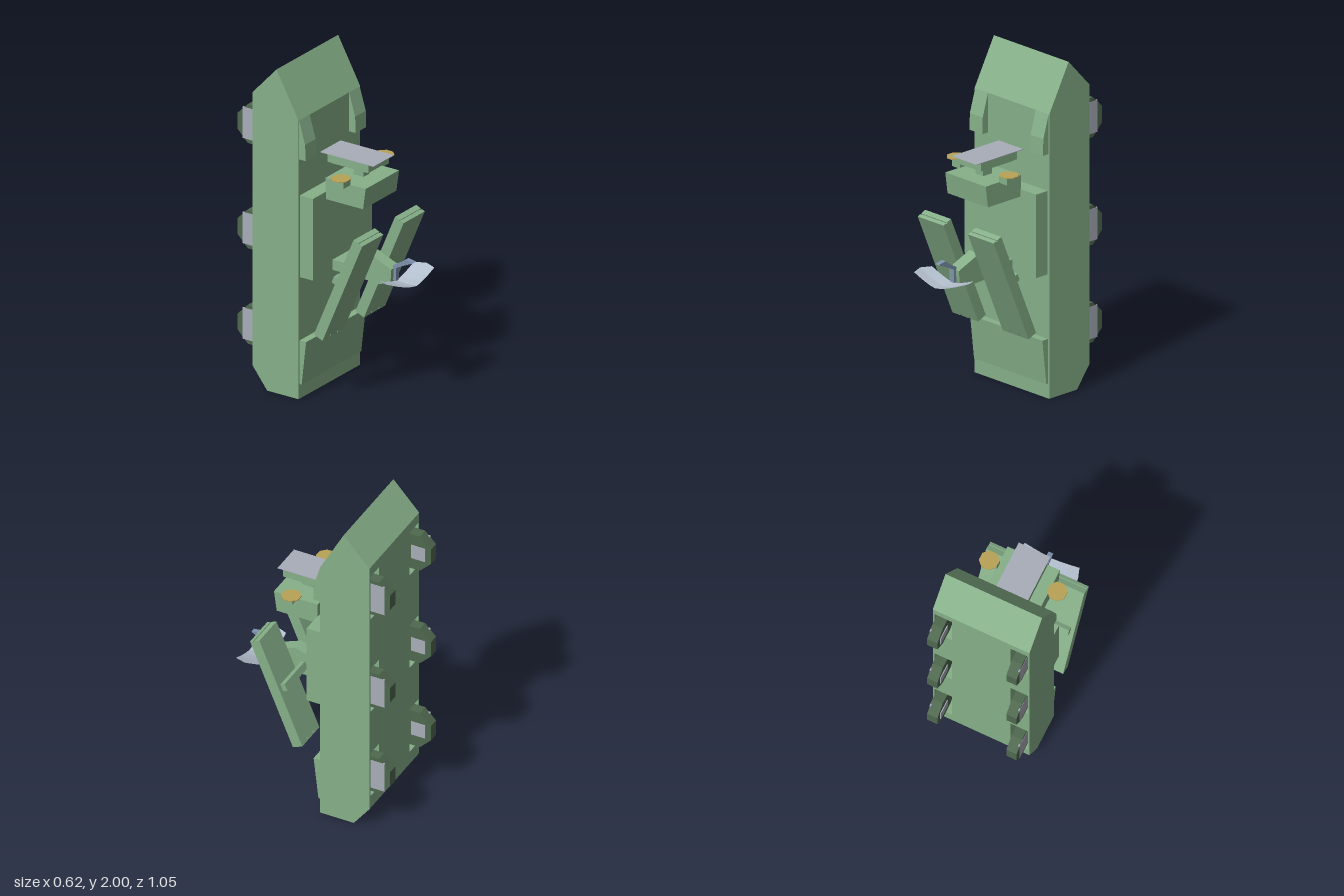
import * as THREE from 'three';

const GREEN = 0x86b089, TYRE = 0x4f684f, GREY = 0xa8adb8, YELLOW = 0xb8a356, STEEL = 0x7d92ad;

export function createModel() {
  const model = new THREE.Group();

  const add = (name, geometry, color = GREEN, double = false) => {
    const material = new THREE.MeshStandardMaterial({ color, flatShading: true });
    if (double) material.side = THREE.DoubleSide;
    const mesh = new THREE.Mesh(geometry, material);
    mesh.name = name;
    model.add(mesh);
    return mesh;
  };
  const toShape = (pts) => new THREE.Shape(pts.map(([a, b]) => new THREE.Vector2(a, b)));
  // Side profile of (z, y) points, extruded from x0 to x1
  const profile = (pts, x0, x1) =>
    new THREE.ExtrudeGeometry(toShape(pts), { depth: x1 - x0, bevelEnabled: false })
      .rotateY(-Math.PI / 2).translate(x1, 0, 0);
  const box = (x0, x1, y0, y1, z0, z1) =>
    new THREE.BoxGeometry(x1 - x0, y1 - y0, z1 - z0)
      .translate((x0 + x1) / 2, (y0 + y1) / 2, (z0 + z1) / 2);
  // Same, on either side of the middle
  const sideBox = (s, a, b, ...rest) => (s > 0 ? box(a, b, ...rest) : box(-b, -a, ...rest));
  const sideProfile = (s, pts, a, b) => (s > 0 ? profile(pts, a, b) : profile(pts, -b, -a));

  // Hull: solid core, notched layers for the wheel wells, and outer skirts
  const wheelY = [0.365, 0.955, 1.605];
  const front = [[-0.405, 1.82], [-0.24, 2], [-0.087, 1.72], [-0.087, 0], [-0.305, 0], [-0.405, 0.13]];
  const wells = wheelY.flatMap((y) => [
    [-0.405, y - 0.15], [-0.27, y - 0.15], [-0.27, y + 0.15], [-0.405, y + 0.15]]);
  add('hullCore', profile(front, -0.185, 0.185));
  for (const s of [-1, 1]) {
    add('wheelWells', sideProfile(s, [...front, ...wells], 0.185, 0.295));
    add('sideSkirt', sideProfile(s, front, 0.295, 0.305));

    // Wheels with hub plates
    for (const y of wheelY) {
      const tyre = new THREE.CylinderGeometry(0.13, 0.13, 0.065, 8)
        .rotateY(Math.PI / 8).rotateZ(Math.PI / 2);
      add('wheel', tyre.translate(s * 0.25, y, -0.405), TYRE);
      add('hub', sideBox(s, 0.275, 0.284, y - 0.097, y + 0.097, -0.49, -0.32), GREY);
      add('innerHub', sideBox(s, 0.212, 0.22, y - 0.045, y + 0.045, -0.49, -0.40), GREY);
    }

    // Raised guards near the nose
    add('guard', sideProfile(s, [[-0.09, 1.48], [-0.042, 1.48], [-0.045, 1.58], [-0.087, 1.72]], 0.195, 0.3));
  }

  // Panels on the front of the hull
  add('lowerPanel', profile([[-0.09, 0.09], [-0.073, 0.09], [-0.042, 0.36], [-0.09, 0.36]], -0.295, 0.295));
  add('backPlate', box(-0.292, 0.292, 0.75, 1.255, -0.09, 0.004));

  // Upper housing with its neck, tray and cover plate
  add('housing', profile([[0, 1.21], [0.262, 1.21], [0.28, 1.34], [0, 1.34]], -0.165, 0.165));
  add('neck', box(-0.03, 0.03, 1.34, 1.405, 0.1, 0.17));
  const tray = box(-0.1, 0.1, 1.41, 1.455, -0.03, 0.255);
  add('tray', tray);
  add('trayBase', box(-0.085, 0.085, 1.4, 1.41, -0.015, 0.24));
  add('coverPlate', box(-0.1, 0.1, 1.455, 1.459, -0.08, 0.29), GREY);

  for (const s of [-1, 1]) {
    // Round caps on posts
    add('capPost', sideBox(s, 0.16, 0.225, 1.335, 1.386, 0.13, 0.17));
    const cap = new THREE.CylinderGeometry(0.059, 0.059, 0.006, 8).rotateY(Math.PI / 8);
    add('cap', cap.translate(s * 0.215, 1.388, 0.143), YELLOW);

    // Slanted side panels: three layers, the middle one recessed, notched at the foot
    const panel = new THREE.Group();
    panel.name = 'sidePanel';
    [[-0.0325, 0.035, 0.353], [0.0025, 0.008, 0.347], [0.0105, 0.022, 0.353]].forEach(([z, depth, top]) => {
      const foot = [0.168, 0.24].flatMap((x) => [
        [x - 0.004, -0.353], [x - 0.004, -0.333], [x + 0.004, -0.333], [x + 0.004, -0.353]]);
      const outline = [[0.1, -0.353], ...foot, [0.31, -0.353], [0.31, top], [0.1, top]]
        .map(([x, y]) => [s * x, y]);
      const layer = add('panelLayer',
        new THREE.ExtrudeGeometry(toShape(outline), { depth, bevelEnabled: false }).translate(0, 0, z));
      panel.add(layer);
    });
    panel.position.set(0, 0.742, 0.19);
    panel.rotation.x = 0.4;
    model.add(panel);
  }

  // Crossbar holding the side panels
  const bar = add('crossbar', new THREE.BoxGeometry(0.575, 0.045, 0.03));
  bar.position.set(0, 0.785, 0.152);
  bar.rotation.x = 0.4;

  // Middle pod and its mount
  add('podMount', box(-0.1, 0.1, 0.75, 0.813, 0, 0.088));
  add('pod', profile([[0.085, 0.72], [0.29, 0.71], [0.365, 0.745], [0.37, 0.82], [0.21, 0.885], [0.085, 0.845]], -0.04, 0.04));

  // Bent bracket carrying the curved blade
  add('bracket', profile([[0.366, 0.745], [0.385, 0.745], [0.385, 0.828], [0.5, 0.88],
    [0.46, 0.89], [0.366, 0.838]].map(([z, y]) => [z, y]), -0.015, 0.015), STEEL);
  add('bracketTip', profile([[0.37, 0.83], [0.385, 0.825], [0.503, 0.885], [0.45, 0.893]], -0.015, 0.015), STEEL);

  // Curved blade: a thin sheet with pointed ends
  const stations = [-0.195, -0.172, -0.11, -0.05, 0, 0.05, 0.11, 0.172, 0.195];
  const blade = new THREE.PlaneGeometry(1, 1, 8, 2);
  const pos = blade.attributes.position;
  for (let i = 0; i < pos.count; i++) {
    const x = stations[i % 9], row = Math.floor(i / 9) - 1;
    const half = Math.abs(x) > 0.18 ? 0.004 : 0.071;
    const y = 0.737 + 0.063 * Math.pow(Math.abs(x) / 0.195, 1.4) + (row === 0 ? 0 : 0.006);
    pos.setXYZ(i, x, Math.min(y, 0.8), 0.449 + row * half);
  }
  blade.computeVertexNormals();
  add('blade', blade, 0xb4bfce, true);

  return model;
}
